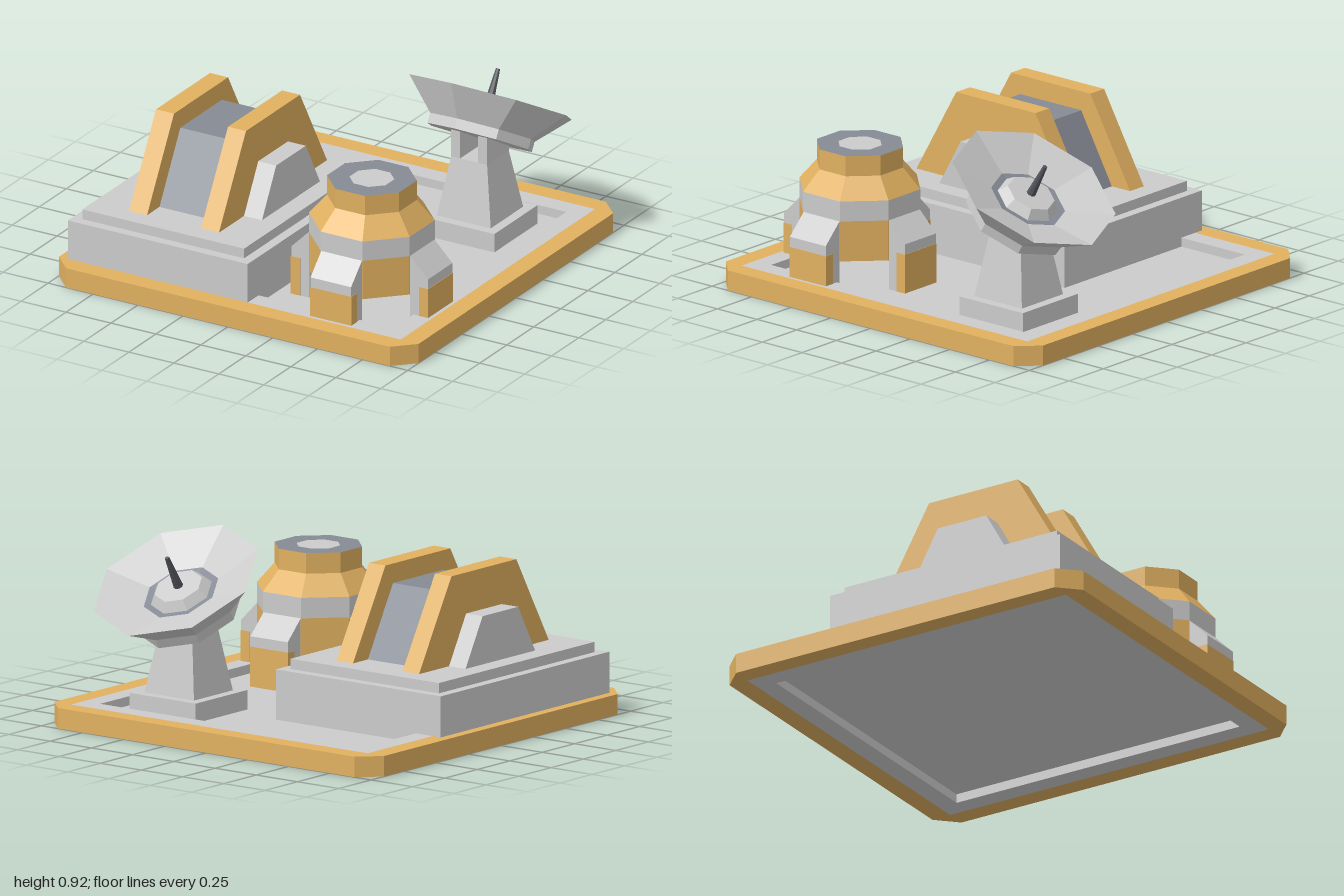
import * as THREE from 'three';

const paint = (color) => new THREE.MeshStandardMaterial({ color, flatShading: true });
const light = paint(0xcccccc);
const dark = paint(0x858a94);
const yellow = paint(0xe0b060);

function add(parent, name, geometry, material) {
  const mesh = new THREE.Mesh(geometry, material);
  mesh.name = name;
  parent.add(mesh);
  return mesh;
}

// Box given by its limits
function box(parent, name, material, [x0, x1], [y0, y1], [z0, z1]) {
  const geometry = new THREE.BoxGeometry(x1 - x0, y1 - y0, z1 - z0);
  geometry.translate((x0 + x1) / 2, (y0 + y1) / 2, (z0 + z1) / 2);
  return add(parent, name, geometry, material);
}

const outline = (points) => new THREE.Shape(points.map(([a, b]) => new THREE.Vector2(a, b)));

// (z, y) profile extruded along x between x0 and x1
function prism(parent, name, material, profile, x0, x1) {
  const geometry = new THREE.ExtrudeGeometry(outline(profile), { depth: x1 - x0, bevelEnabled: false });
  geometry.rotateY(-Math.PI / 2).translate(x1, 0, 0);
  return add(parent, name, geometry, material);
}

// Eight-sided turned part from (radius, y) points, listed from the bottom up
function turned(parent, name, material, points) {
  const profile = points.map(([r, y]) => new THREE.Vector2(r, y));
  return add(parent, name, new THREE.LatheGeometry(profile, 8), material);
}

// Horizontal frame with a square hole
function frame(parent, name, material, points, hole) {
  const shape = outline(points);
  shape.holes.push(outline([[-hole, -hole], [-hole, hole], [hole, hole], [hole, -hole]]));
  const geometry = new THREE.ExtrudeGeometry(shape, { depth: 0.1, bevelEnabled: false });
  geometry.rotateX(-Math.PI / 2);
  return add(parent, name, geometry, material);
}

function createBase() {
  const base = new THREE.Group();
  base.name = 'base';
  frame(base, 'outerRim', yellow, [
    [-0.9, -1], [0.9, -1], [1, -0.9], [1, 0.9], [0.9, 1], [-0.9, 1], [-1, 0.9], [-1, -0.9],
  ], 0.9);
  frame(base, 'innerBorder', light, [[-0.9, -0.9], [0.9, -0.9], [0.9, 0.9], [-0.9, 0.9]], 0.8);
  box(base, 'recessedFloor', light, [-0.8, 0.8], [0.045, 0.055], [-0.8, 0.8]);
  return base;
}

function createHangar() {
  const hangar = new THREE.Group();
  hangar.name = 'hangar';
  box(hangar, 'platform', light, [-0.95, 0.05], [0.05, 0.3], [-0.4, 0.9]);
  box(hangar, 'platformStep', light, [-0.9, 0], [0.3, 0.35], [-0.35, 0.85]);
  // Trapezoid halls, all centred on z = 0.25
  const trapezoid = (bottom, top, height) => [
    [0.25 - bottom, 0.35], [0.25 + bottom, 0.35], [0.25 + top, height], [0.25 - top, height],
  ];
  prism(hangar, 'hall', dark, trapezoid(0.385, 0.192, 0.69), -0.6, -0.3);
  for (const side of [-1, 1]) {
    const span = (near, far) => [-0.45 + side * near, -0.45 + side * far].sort((a, b) => a - b);
    prism(hangar, 'rib', yellow, trapezoid(0.5, 0.25, 0.785), ...span(0.15, 0.25));
    prism(hangar, 'sideWing', light, trapezoid(0.268, 0.137, 0.585), ...span(0.25, 0.35));
  }
  return hangar;
}

function createReactor() {
  const reactor = new THREE.Group();
  reactor.name = 'reactor';
  // Octagonal tank with flat sides facing the axes
  const tank = new THREE.Group();
  tank.name = 'tank';
  tank.rotation.y = Math.PI / 8;
  const k = 1 / Math.cos(Math.PI / 8);
  const R = 0.28 * k, r = 0.2 * k, c = 0.1 * k;
  turned(tank, 'tankBottom', light, [[0, 0.2], [R, 0.2]]);
  turned(tank, 'lowerBelt', yellow, [[R, 0.2], [R, 0.4]]);
  turned(tank, 'upperBelt', light, [[R, 0.4], [R, 0.5]]);
  turned(tank, 'shoulderAndCollar', yellow, [[R, 0.5], [r, 0.6], [r, 0.7]]);
  turned(tank, 'topRing', dark, [[r, 0.7], [c, 0.7]]);
  turned(tank, 'topCap', light, [[c, 0.7], [0, 0.7]]);
  reactor.add(tank);
  // Four legs carrying the tank
  for (let i = 0; i < 4; i++) {
    const leg = new THREE.Group();
    leg.name = 'leg';
    leg.rotation.y = (i * Math.PI) / 2;
    prism(leg, 'buttress', light, [[0.28, 0.05], [0.38, 0.05], [0.38, 0.3], [0.28, 0.4]], -0.113, 0.113);
    box(leg, 'legGuard', yellow, [-0.115, 0.115], [0.05, 0.25], [0.33, 0.382]);
    reactor.add(leg);
  }
  reactor.position.set(0.5, 0, 0.5);
  return reactor;
}

function createDishStation() {
  const station = new THREE.Group();
  station.name = 'dishStation';
  box(station, 'foot', light, [-0.2, 0.2], [0.05, 0.15], [-0.2, 0.2]);
  const pedestal = new THREE.CylinderGeometry(0.1 * Math.SQRT2, 0.15 * Math.SQRT2, 0.3, 4);
  pedestal.rotateY(Math.PI / 4).translate(0, 0.3, 0);
  add(station, 'pedestal', pedestal, light);
  // Fork arms cut to the tilt of the dish
  const arm = [[0.1, 0.45], [0.1, 0.59], [-0.1, 0.475], [-0.1, 0.45]];
  prism(station, 'forkArm', light, arm, -0.1, -0.05);
  prism(station, 'forkArm', light, arm, 0.05, 0.1);

  const dish = new THREE.Group();
  dish.name = 'dish';
  turned(dish, 'bowl', light, [[0, 0], [0.27, 0], [0.27, 0.05], [0.42, 0.2], [0.19, 0.125]]);
  turned(dish, 'hubRing', dark, [[0.19, 0.125], [0.155, 0.12]]);
  turned(dish, 'hub', light, [[0.155, 0.12], [0.12, 0.165], [0, 0.165]]);
  const spike = new THREE.CylinderGeometry(0.011, 0.024, 0.18, 8).translate(0, 0.25, 0);
  add(dish, 'feedSpike', spike, paint(0x55585e));
  dish.position.set(0, 0.534, 0.003);
  dish.rotation.x = -Math.PI / 6;
  station.add(dish);
  station.position.set(0.5, 0, -0.5);
  return station;
}

export function createModel() {
  const model = new THREE.Group();
  model.name = 'outpost';
  model.add(createBase(), createHangar(), createReactor(), createDishStation());
  return model;
}
